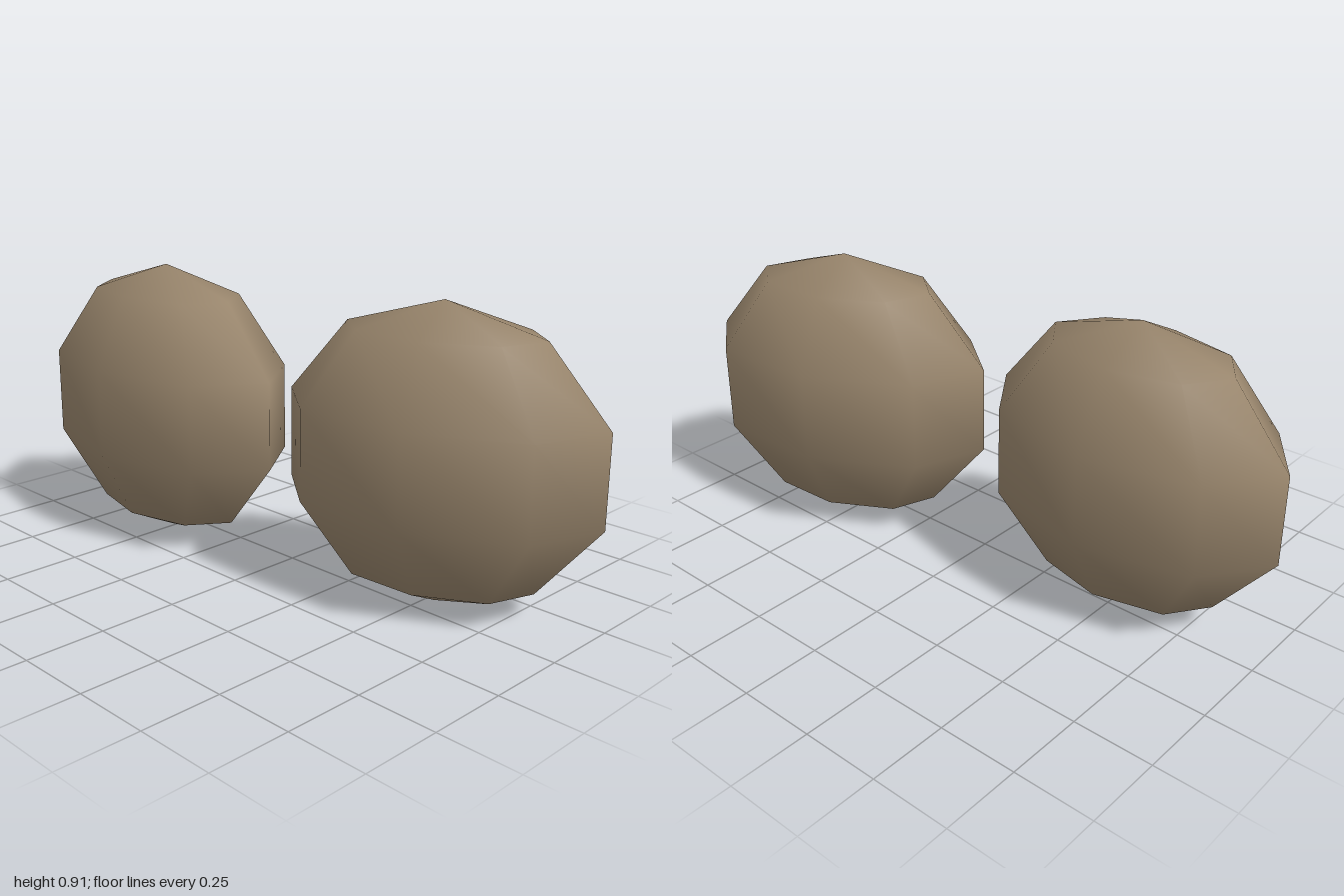
import * as THREE from 'three';

export function createModel() {
  const model = new THREE.Group();
  model.name = 'boulders';

  const stone = new THREE.MeshStandardMaterial({ color: 0x97846b });
  stone.name = 'brown stone';

  // Both boulders share one smooth low-poly ellipsoid
  const geometry = new THREE.SphereGeometry(1, 8, 5);
  geometry.scale(0.516, 0.455, 0.303);

  const addBoulder = (name, x, z, turn) => {
    const boulder = new THREE.Mesh(geometry, stone);
    boulder.name = name;
    boulder.position.set(x, 0.457, z);
    boulder.rotation.y = turn;
    model.add(boulder);
  };

  addBoulder('rightBoulder', -0.51, 0.079, 0);
  addBoulder('leftBoulder', 0.525, -0.079, 0.279);

  return model;
}
